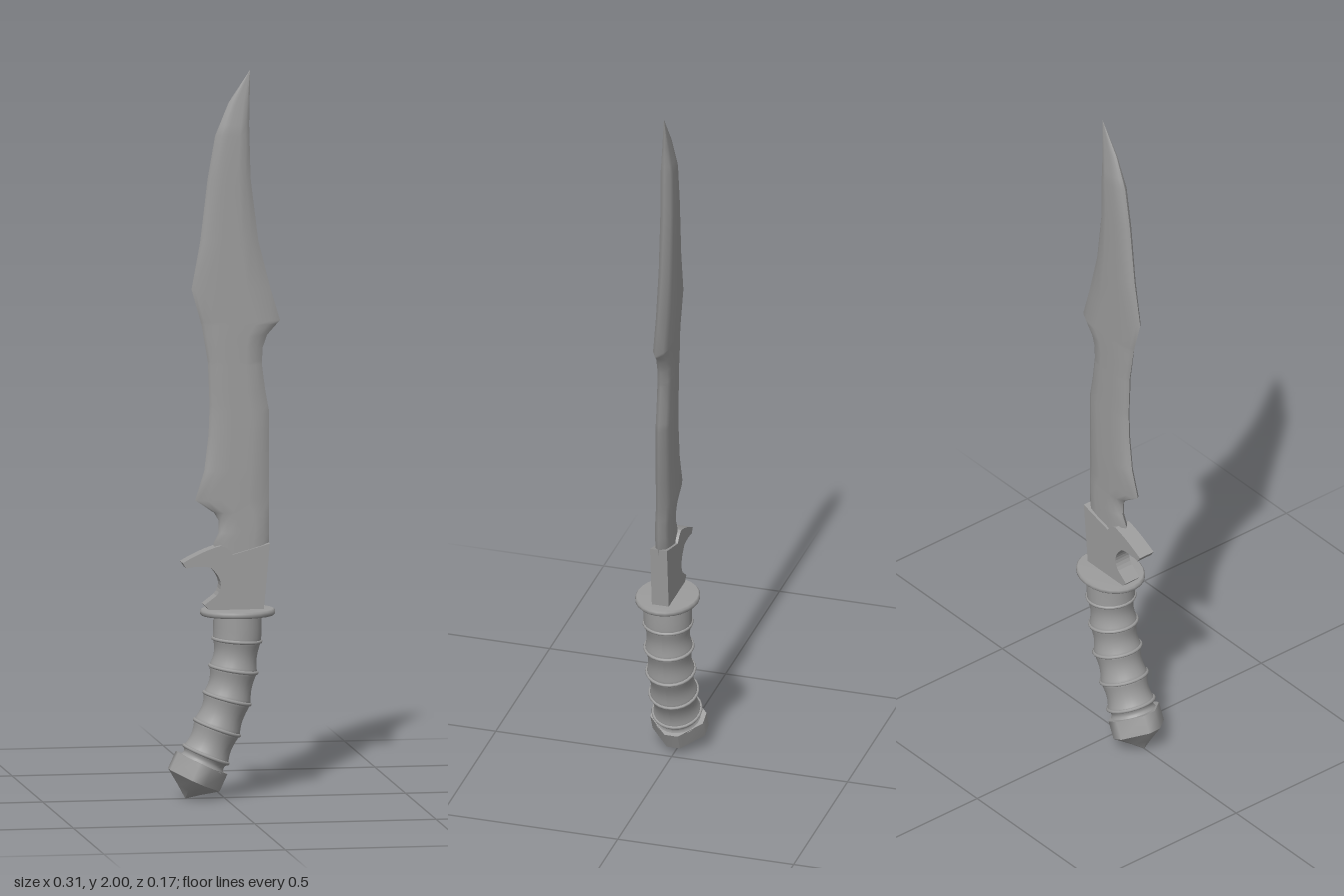
import * as THREE from 'three';

const metal = new THREE.MeshStandardMaterial({ color: 0x9c9c9c, side: THREE.DoubleSide });

// Blade outline as [y, x] points: hollow edge on the right of the model, spine on its left
const edge = [[0.6, -0.01], [0.7, -0.03], [0.73, -0.015], [0.765, -0.016], [0.785, -0.028], [0.82, -0.08],
  [0.9, -0.055], [1, -0.043], [1.08, -0.04], [1.2, -0.045], [1.3, -0.062], [1.4, -0.09], [1.53, -0.066],
  [1.7, -0.046], [1.82, -0.025], [1.91, 0.012], [2, 0.072]];
const spine = [[0.6, 0.105], [0.7, 0.124], [1.06, 0.124], [1.12, 0.113], [1.19, 0.104], [1.235, 0.106],
  [1.27, 0.118], [1.31, 0.154], [1.4, 0.127], [1.53, 0.094], [1.7, 0.073], [1.85, 0.069], [2, 0.072]];

function lookUp(line, y) {
  const i = Math.max(1, line.findIndex((p) => p[0] >= y));
  const [a, b] = [line[i - 1], line[i]];
  return THREE.MathUtils.lerp(a[1], b[1], (y - a[0]) / (b[0] - a[0]));
}

// Grid surface from rows of points
function gridGeometry(rows, flip = false) {
  const n = rows[0].length, index = [];
  for (let i = 0; i < rows.length - 1; i++) {
    for (let j = 0; j < n - 1; j++) {
      const a = i * n + j, b = a + 1, c = b + n, d = a + n;
      index.push(...(flip ? [a, c, b, a, d, c] : [a, b, c, a, c, d]));
    }
  }
  const geo = new THREE.BufferGeometry();
  geo.setAttribute('position', new THREE.Float32BufferAttribute(rows.flat(2), 3));
  geo.setIndex(index);
  geo.computeVertexNormals();
  return geo;
}

// One face of the blade: a flat body with bevelled edges, thinning toward the tip
function bladeFace(side) {
  const ys = [...new Set([...edge, ...spine].map((p) => p[0]))].sort((a, b) => a - b);
  const section = [[0, 0], [0.04, 0.5], [0.16, 0.88], [0.35, 1], [0.7, 1], [0.87, 0.85], [1, 0]];
  const rows = ys.map((y) => {
    const l = lookUp(edge, y), r = lookUp(spine, y);
    const thick = 0.017 * Math.min(1, (2 - y) / 0.18);
    return section.map(([f, z]) => [l + (r - l) * f, y, side * z * thick]);
  });
  return gridGeometry(rows, side < 0);
}

// Curved grip centre line; each inner point carries a raised band
const path = new THREE.CatmullRomCurve3([[0.037, 0.51], [0.035, 0.435], [0.025, 0.355], [0.008, 0.275],
  [-0.02, 0.195], [-0.05, 0.122], [-0.062, 0.095]].map(([x, y]) => new THREE.Vector3(x, y, 0)));

// Straight neck under the guard, then shallow hollows between the bands
function gripGeometry() {
  const rows = [], steps = 48, sides = 24;
  for (let i = 0; i <= steps; i++) {
    const t = i / steps, p = path.getPoint(t), d = path.getTangent(t);
    const r = t < 1 / 6 ? 0.066 : 0.066 - 0.007 * Math.sin(Math.PI * ((t * 6) % 1));
    const row = [];
    for (let j = 0; j <= sides; j++) {
      const a = (j / sides) * Math.PI * 2, c = r * Math.cos(a);
      row.push([p.x - d.y * c, p.y + d.x * c, r * Math.sin(a)]);
    }
    rows.push(row);
  }
  return gridGeometry(rows);
}

// Diamond section with blunted corners, swept through [radius, y] rings
function diamondGeometry(rings) {
  const blunt = THREE.MathUtils.degToRad(14);
  const angles = [0, 1, 2, 3].flatMap((k) => [k * Math.PI / 2 - blunt, k * Math.PI / 2 + blunt]);
  angles.push(angles[0]);
  return gridGeometry(rings.map(([r, y]) => angles.map((a) => [r * Math.cos(a), y, r * Math.sin(a)])), true);
}

export function createModel() {
  const model = new THREE.Group();
  const group = (name) => {
    const g = new THREE.Group();
    g.name = name;
    model.add(g);
    return g;
  };
  const add = (name, geo, parent = model) => {
    const mesh = new THREE.Mesh(geo, metal);
    mesh.name = name;
    parent.add(mesh);
    return mesh;
  };

  const blade = group('blade');
  add('bladeFront', bladeFace(1), blade);
  add('bladeBack', bladeFace(-1), blade);

  // Blade collar with its forward finger hook
  const s = new THREE.Shape();
  s.moveTo(0.105, 0.515);
  s.lineTo(0.122, 0.7);
  s.quadraticCurveTo(0.07, 0.685, 0.02, 0.672);
  s.quadraticCurveTo(0.01, 0.69, -0.012, 0.697);
  s.quadraticCurveTo(-0.06, 0.685, -0.118, 0.652);
  s.lineTo(-0.108, 0.637);
  s.quadraticCurveTo(-0.07, 0.645, -0.04, 0.637);
  s.quadraticCurveTo(0.005, 0.595, -0.025, 0.56);
  s.lineTo(-0.058, 0.535);
  s.lineTo(-0.04, 0.515);
  const collar = new THREE.ExtrudeGeometry(s, { depth: 0.048, bevelEnabled: false, curveSegments: 8 });
  collar.translate(0, 0, -0.024);
  add('collar', collar);

  // Oval guard with a softened rim
  const rim = [[0, -0.009], [0.95, -0.009], [1, -0.004], [1, 0.004], [0.95, 0.009], [0, 0.009]];
  const guard = add('guard', new THREE.LatheGeometry(rim.map(([x, y]) => new THREE.Vector2(x, y)), 24));
  guard.scale.set(0.103, 1, 0.087);
  guard.position.set(0.037, 0.512, 0);

  add('grip', gripGeometry());
  for (let i = 1; i <= 5; i++) {
    const band = add('gripBand', new THREE.TorusGeometry(0.065, 0.005, 8, 24));
    band.position.copy(path.getPoint(i / 6));
    band.quaternion.setFromUnitVectors(new THREE.Vector3(0, 0, 1), path.getTangent(i / 6));
  }

  // Diamond pommel ending in a point
  const pommel = group('pommel');
  add('pommelCap', diamondGeometry([[0, 0], [0.077, 0]]), pommel);
  add('pommelBody', diamondGeometry([[0.077, 0], [0.077, -0.052]]), pommel);
  add('pommelPoint', diamondGeometry([[0.077, -0.052], [0.034, -0.082], [0, -0.108]]), pommel);
  pommel.position.set(-0.062, 0.1, 0);
  pommel.rotation.z = -0.43;
  return model;
}
